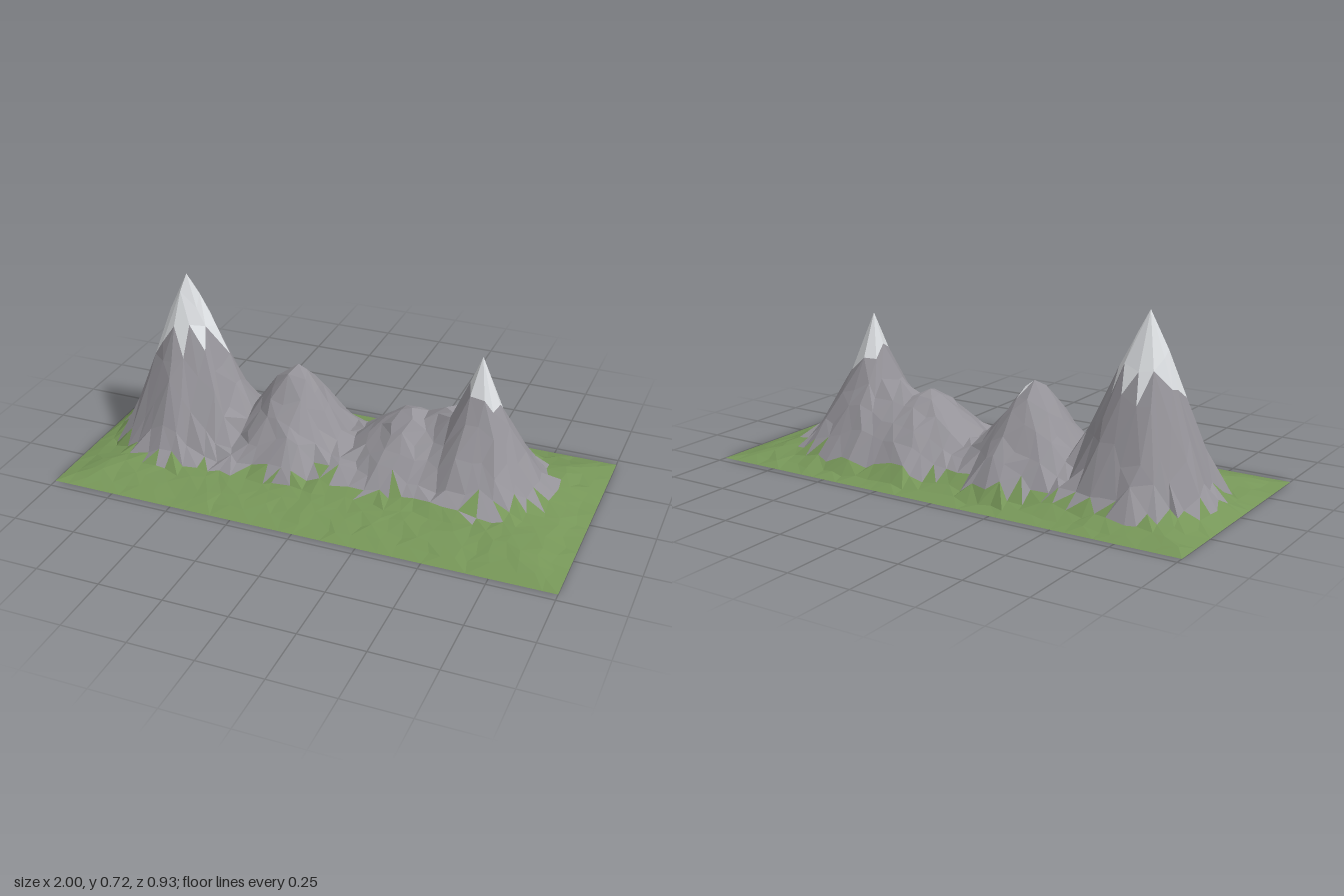
import * as THREE from 'three';

const HALF_X = 1, HALF_Z = 0.465, NX = 36, NZ = 17;

// Each peak: centre, reach factors (left, right, front, back) and slope as [radius, height]
const peaks = [
  { x: -0.66, z: -0.06, reach: [0.9, 1.12, 1.08, 0.95], phase: 0,
    slope: [[0, 0.72], [0.06, 0.61], [0.11, 0.47], [0.18, 0.3], [0.235, 0.16], [0.29, 0.05], [0.34, 0]] },
  { x: -0.2, z: -0.08, reach: [1, 0.95, 1.05, 0.95], phase: 2,
    slope: [[0, 0.405], [0.05, 0.38], [0.1, 0.31], [0.17, 0.22], [0.25, 0.12], [0.3, 0.05], [0.36, 0]] },
  { x: 0.27, z: -0.08, reach: [1, 1, 0.95, 0.95], phase: 4,
    slope: [[0, 0.305], [0.08, 0.27], [0.15, 0.21], [0.2, 0.165], [0.26, 0.1], [0.3, 0.05], [0.36, 0]] },
  { x: 0.4, z: -0.1, reach: [1, 1, 1, 1], phase: 1,
    slope: [[0, 0.325], [0.08, 0.27], [0.2, 0.15], [0.3, 0]] },
  { x: 0.54, z: -0.08, reach: [1, 0.98, 1, 0.95], phase: 5,
    slope: [[0, 0.575], [0.04, 0.49], [0.07, 0.4], [0.14, 0.27], [0.2, 0.17], [0.27, 0.07], [0.33, 0.02], [0.38, 0]] },
];
const ridgeSlope = [[0, 0.15], [0.14, 0.135], [0.23, 0.09], [0.29, 0.045], [0.34, 0]];
const skirtSlope = [[0, 0], [0.05, 0.012], [0.13, 0.035], [0.2, 0.05], [1, 0.05]];

function sample(points, t) {
  for (let i = 1; i < points.length; i++) {
    const [t0, v0] = points[i - 1], [t1, v1] = points[i];
    if (t <= t1) return v0 + (v1 - v0) * (t - t0) / (t1 - t0);
  }
  return points[points.length - 1][1];
}

function seeded(seed) {
  return () => {
    seed = (seed * 1664525 + 1013904223) % 4294967296;
    return seed / 4294967296;
  };
}

// Terrain height: the highest of the skirt, the connecting ridge and the peaks
function heightAt(x, z) {
  const edge = Math.max(0, Math.min(HALF_X - Math.abs(x), HALF_Z - Math.abs(z)));
  let y = sample(skirtSlope, edge);
  const along = Math.min(0.54, Math.max(-0.66, x));
  y = Math.max(y, sample(ridgeSlope, Math.hypot(x - along, z + 0.055)));
  for (const p of peaks) {
    const dx = (x - p.x) / p.reach[x < p.x ? 0 : 1];
    const dz = (z - p.z) / p.reach[z > p.z ? 2 : 3];
    const crag = 1 + 0.04 * Math.sin(Math.atan2(dz, dx) * 7 + p.phase);
    y = Math.max(y, sample(p.slope, Math.hypot(dx, dz) * crag));
  }
  return y;
}

function buildPoints(rand) {
  const points = [];
  for (let j = 0; j <= NZ; j++) {
    for (let i = 0; i <= NX; i++) {
      const inside = i > 0 && i < NX && j > 0 && j < NZ;
      const jx = (rand() - 0.5) * 0.55 / NX * 2 * HALF_X;
      const jz = (rand() - 0.5) * 0.55 / NZ * 2 * HALF_Z;
      const x = (i / NX * 2 - 1) * HALF_X + (inside ? jx : 0);
      const z = (j / NZ * 2 - 1) * HALF_Z + (inside ? jz : 0);
      const y = heightAt(x, z);
      const rough = inside ? (rand() - 0.5) * (y > 0.06 ? 0.022 : 0.008) : 0;
      points.push(new THREE.Vector3(x, Math.max(0, y + rough), z));
    }
  }
  // Move the nearest point onto each summit so the tips stay sharp
  for (const p of peaks) {
    const near = points.reduce((a, b) =>
      Math.hypot(a.x - p.x, a.z - p.z) < Math.hypot(b.x - p.x, b.z - p.z) ? a : b);
    near.set(p.x, p.slope[0][1], p.z);
  }
  return points;
}

// Sort a facet into grass, rock or snow by its height
function zoneOf(c, rand) {
  const snowLine = c.x < -0.4 ? 0.47 : c.x < 0.1 ? (c.z < -0.08 ? 0.37 : 0.5) : 0.41;
  const patchy = c.z > 0.08 && c.x > -0.3 ? 0.045 : 0.01;
  const grassLine = 0.058 + rand() * patchy;
  if (c.y > snowLine) return 'snow';
  return c.y > grassLine ? 'rock' : 'grass';
}

export function createModel() {
  const group = new THREE.Group();
  group.name = 'mountainRange';
  const rand = seeded(11);
  const points = buildPoints(rand);
  const zones = { grass: [], rock: [], snow: [] };

  const addFacet = (a, b, c) => {
    const centre = a.clone().add(b).add(c).divideScalar(3);
    for (const p of [a, b, c]) zones[zoneList(centre, p)].push(p.x, p.y, p.z);
  };
  // One zone per facet, chosen at its first corner
  let lastCentre = null, lastZone = 'grass';
  function zoneList(centre) {
    if (centre !== lastCentre) {
      lastCentre = centre;
      lastZone = zoneOf(centre, rand);
    }
    return lastZone;
  }

  // Split every cell along its higher diagonal to form ridges
  for (let j = 0; j < NZ; j++) {
    for (let i = 0; i < NX; i++) {
      const k = j * (NX + 1) + i;
      const a = points[k], b = points[k + 1], c = points[k + NX + 1], d = points[k + NX + 2];
      if (a.y + d.y > b.y + c.y) {
        addFacet(a, c, d);
        addFacet(a, d, b);
      } else {
        addFacet(a, c, b);
        addFacet(b, c, d);
      }
    }
  }

  const colors = { grass: 0x769658, rock: 0x959399, snow: 0xdcdfe2 };
  const names = { grass: 'grassGround', rock: 'rockSlopes', snow: 'snowCaps' };
  for (const zone of Object.keys(zones)) {
    const geometry = new THREE.BufferGeometry();
    geometry.setAttribute('position', new THREE.Float32BufferAttribute(zones[zone], 3));
    geometry.computeVertexNormals();
    const material = new THREE.MeshStandardMaterial({
      color: colors[zone], flatShading: true, side: THREE.DoubleSide,
    });
    material.name = zone;
    const mesh = new THREE.Mesh(geometry, material);
    mesh.name = names[zone];
    group.add(mesh);
  }
  return group;
}
